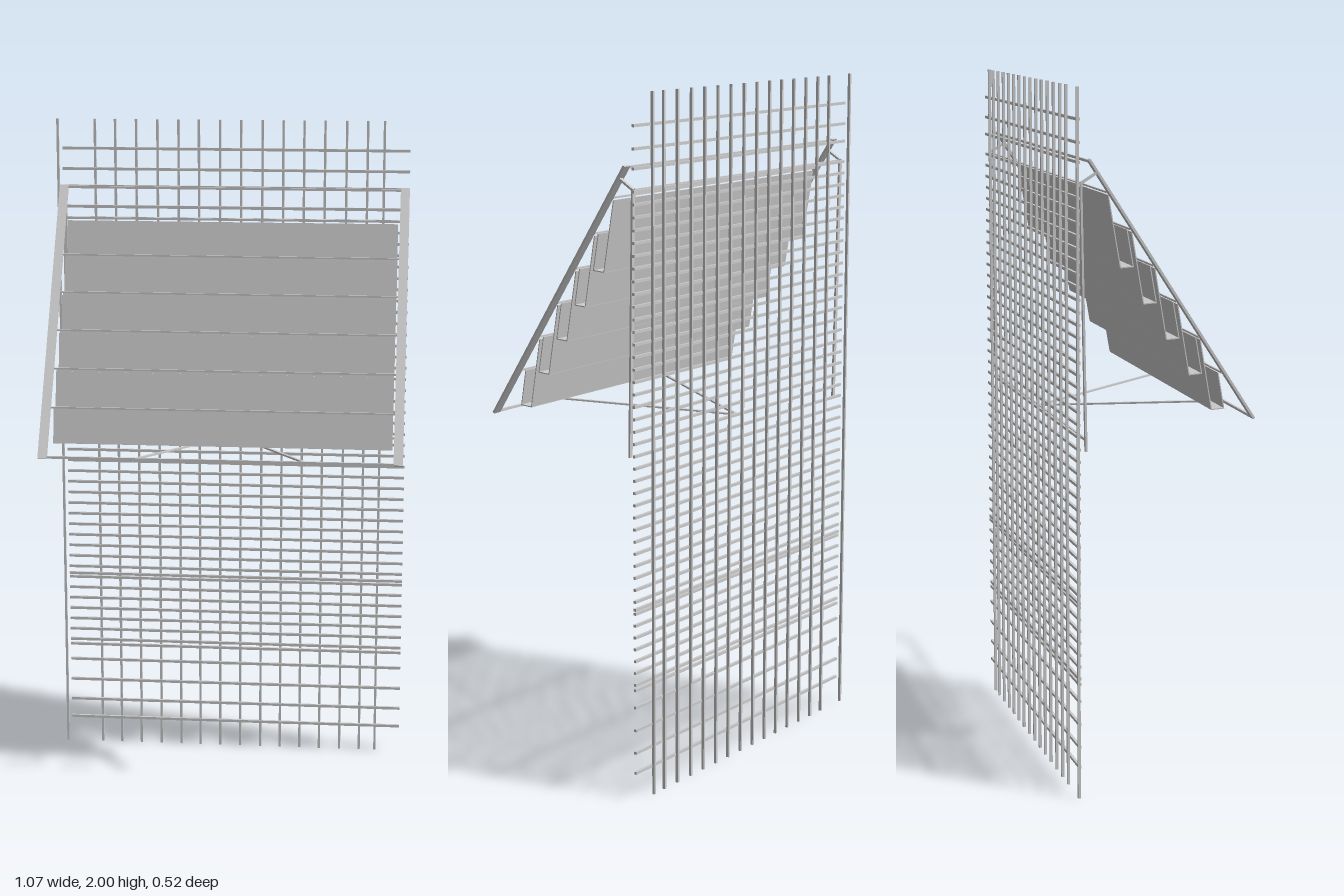
import * as THREE from 'three';

const material = new THREE.MeshStandardMaterial({ color: 0xcccccc, flatShading: true });
const X_MID = 0.004;

// Straight bar between two points; width runs sideways, depth is the other thickness
function beam(parent, name, from, to, width, depth) {
  const a = new THREE.Vector3(...from), b = new THREE.Vector3(...to);
  const along = b.clone().sub(a);
  const length = along.length();
  along.normalize();
  const hint = Math.abs(along.x) > 0.9 ? new THREE.Vector3(0, 1, 0) : new THREE.Vector3(1, 0, 0);
  const normal = hint.clone().cross(along).normalize();
  const side = along.clone().cross(normal);
  const mesh = new THREE.Mesh(new THREE.BoxGeometry(width, length, depth), material);
  mesh.quaternion.setFromRotationMatrix(new THREE.Matrix4().makeBasis(side, along, normal));
  mesh.position.copy(a).add(b).multiplyScalar(0.5);
  mesh.name = name;
  parent.add(mesh);
  return mesh;
}

function addGroup(parent, name) {
  const group = new THREE.Group();
  group.name = name;
  parent.add(group);
  return group;
}

// Depth of the sloping frame at a given height
const slopeZ = (y) => 0.259 - (y - 1.066) * 0.65;

export function createModel() {
  const model = new THREE.Group();
  model.name = 'trellisWithLouvredAwning';

  // Upright bars of the lattice, full height
  const uprights = addGroup(model, 'uprightBars');
  const uprightX = [-0.536, -0.422, -0.36, -0.296, -0.231, -0.167, -0.105, -0.041,
    0.023, 0.088, 0.151, 0.214, 0.277, 0.342, 0.405, 0.455];
  for (const x of uprightX) beam(uprights, 'uprightBar', [x, 0, -0.2585], [x, 2, -0.2585], 0.007, 0.008);

  // Horizontal bars: sparse at both ends, dense in the middle
  const rungs = addGroup(model, 'horizontalBars');
  const rungY = [0.085, 0.145, 0.28, 0.212, 0.331, 0.567, 1.797, 1.85, 1.912];
  for (let i = 0; i < 41; i++) rungY.push(0.347 + i * 0.0347);
  for (const y of rungY) beam(rungs, 'horizontalBar', [-0.521, y, -0.251], [0.533, y, -0.251], 0.008, 0.008);

  // Sloping outer frame
  const frame = addGroup(model, 'slopingFrame');
  for (const s of [-1, 1]) {
    const x = X_MID + s * 0.516;
    beam(frame, 'sideRail', [x, 1.066, slopeZ(1.066)], [x, 1.803, slopeZ(1.803)], 0.027, 0.007);
  }
  for (const y of [1.069, 1.798]) {
    beam(frame, 'frameCrossbar', [-0.5, y, slopeZ(y)], [0.508, y, slopeZ(y)], 0.007, 0.007);
  }

  // Trough-shaped slats, open at the top and ends, hung from thin rods
  const slats = addGroup(model, 'slats');
  const x0 = -0.492, x1 = 0.501;
  const panel = (parent, name, y0, z0, y1, z1) => {
    const mid = (x0 + x1) / 2;
    beam(parent, name, [mid, y0, z0], [mid, y1, z1], x1 - x0, 0.003);
  };
  for (let i = 0; i < 5; i++) {
    const slat = addGroup(slats, 'slat');
    const y = 1.093 + i * 0.1028, z = 0.18 - i * 0.0668;
    const lipY = y + 0.104, backY = y + 0.2;
    panel(slat, 'slatFront', y, z, lipY, slopeZ(lipY) - 0.012);
    panel(slat, 'slatFloor', y + 0.001, z, y - 0.001, z - 0.037);
    panel(slat, 'slatBack', y, z - 0.037, backY, slopeZ(backY) - 0.003);
  }
  for (let i = 0; i < 6; i++) {
    const y = 1.198 + i * 0.1028;
    const rodZ = slopeZ(y) - 0.003;
    beam(slats, 'slatRod', [-0.5, y, rodZ], [0.508, y, rodZ], 0.005, 0.005);
  }

  // Rear bracket that ties the sloping frame to the lattice
  const bracket = addGroup(model, 'rearBracket');
  for (const s of [-1, 1]) {
    const x = X_MID + s * 0.518;
    beam(bracket, 'rearPost', [x, 1.0, -0.23], [x, 1.74, -0.243], 0.012, 0.006);
    beam(bracket, 'topLink', [x, 1.74, -0.243], [x, 1.768, slopeZ(1.768)], 0.012, 0.006);
  }
  beam(bracket, 'upperRearCrossbar', [-0.508, 1.737, -0.241], [0.516, 1.737, -0.241], 0.008, 0.008);
  beam(bracket, 'lowerRearCrossbar', [-0.508, 1.033, -0.23], [0.516, 1.033, -0.23], 0.007, 0.007);

  // Pair of struts spreading from the bracket to the lower frame edge
  for (const s of [-1, 1]) {
    beam(model, 'spreaderStrut', [X_MID, 1.032, -0.226], [X_MID + s * 0.257, 1.066, 0.256], 0.009, 0.005);
  }

  return model;
}
